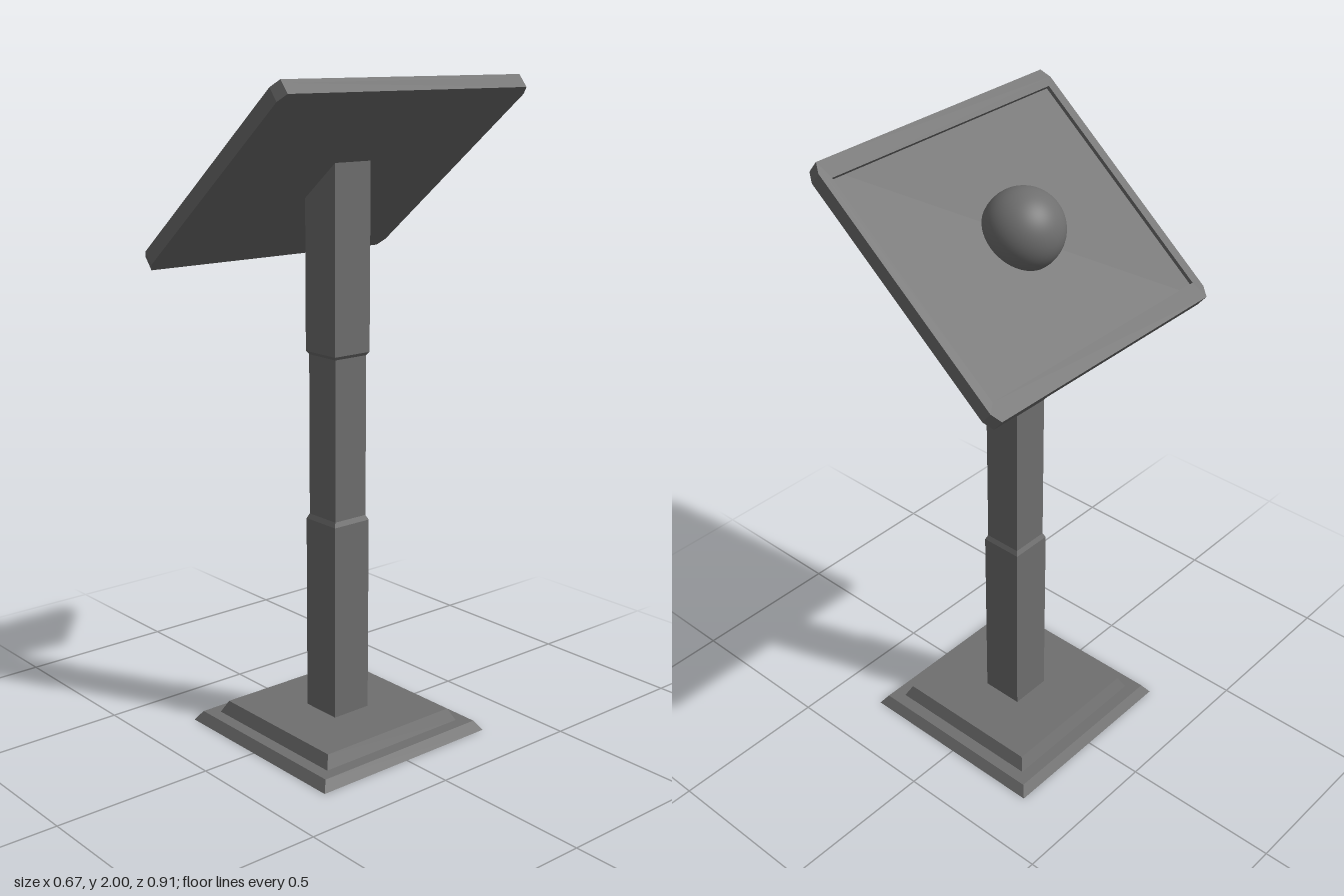
import * as THREE from 'three';

const SQ = Math.SQRT2;
const COLOR = 0x6f6f6f;
const flat = () => new THREE.MeshStandardMaterial({ color: COLOR, flatShading: true });
const smooth = () => new THREE.MeshStandardMaterial({ color: COLOR });

function add(parent, name, geometry, material = flat()) {
  const mesh = new THREE.Mesh(geometry, material);
  mesh.name = name;
  parent.add(mesh);
  return mesh;
}

// Square-section solid from [half width, height] pairs, listed upwards
function squareLoft(profile) {
  const points = profile.map(([half, y]) => new THREE.Vector2(half * SQ, y));
  const geometry = new THREE.LatheGeometry(points, 4, Math.PI / 4).toNonIndexed();
  geometry.computeVertexNormals();
  return geometry;
}

// Horizontal slab from a plan outline, rising from y0
function slab(shape, depth, y0) {
  const geometry = new THREE.ExtrudeGeometry(shape, { depth, bevelEnabled: false });
  return geometry.rotateX(-Math.PI / 2).translate(0, y0, 0);
}

// Rectangle with clipped corners
function panelOutline(u, v, cu, cv) {
  return new THREE.Shape([
    [u - cu, -v], [u, -v + cv], [u, v - cv], [u - cu, v],
    [-u + cu, v], [-u, v - cv], [-u, -v + cv], [-u + cu, -v],
  ].map(([x, y]) => new THREE.Vector2(x, y)));
}

export function createModel() {
  const model = new THREE.Group();
  model.name = 'panelStand';

  const tilt = THREE.MathUtils.degToRad(39);
  const panelY = 1.724;
  const half = 0.067;
  const standX = 0.0135;

  // Stand: stepped foot and post, slightly off the panel's centre
  const stand = new THREE.Group();
  stand.name = 'stand';
  stand.position.x = standX;
  model.add(stand);

  add(stand, 'foot', squareLoft([
    [0, 0], [0.322, 0], [0.301, 0.03], [0.262, 0.03], [0.243, 0.068], [0, 0.068],
  ]));
  add(stand, 'post', squareLoft([
    [half, 0.06], [half, 0.68], [0.06, 0.695], [0.06, 1.19], [half, 1.2],
  ]));

  // Post head, cut at the slope of the panel
  const cutY = (x) => panelY + (x + standX) * Math.tan(tilt) - 0.01;
  const headShape = new THREE.Shape([
    new THREE.Vector2(-half, 1.2), new THREE.Vector2(half, 1.2),
    new THREE.Vector2(half, cutY(half)), new THREE.Vector2(-half, cutY(-half)),
  ]);
  add(stand, 'postHead', new THREE.ExtrudeGeometry(headShape, { depth: 2 * half, bevelEnabled: false })
    .translate(0, 0, -half));

  // Tilted panel: back plate, raised rim and dome
  const panel = new THREE.Group();
  panel.name = 'panel';
  panel.position.y = panelY;
  panel.rotation.z = tilt;
  model.add(panel);

  const thickness = 0.046;
  const recess = 0.012;
  const floorY = thickness / 2 - recess;
  const outline = () => panelOutline(0.411, 0.4535, 0.032, 0.016);
  add(panel, 'backPlate', slab(outline(), thickness - recess, -thickness / 2));

  const rim = outline();
  const [hu, hv] = [0.355, 0.425];
  rim.holes.push(new THREE.Path([
    new THREE.Vector2(-hu, -hv), new THREE.Vector2(-hu, hv),
    new THREE.Vector2(hu, hv), new THREE.Vector2(hu, -hv),
  ]));
  add(panel, 'rim', slab(rim, recess, floorY));

  const dome = add(panel, 'dome',
    new THREE.SphereGeometry(0.118, 48, 24, 0, Math.PI * 2, 0, 1.85), smooth());
  dome.position.set(0.006, 0.035, 0);

  return model;
}
